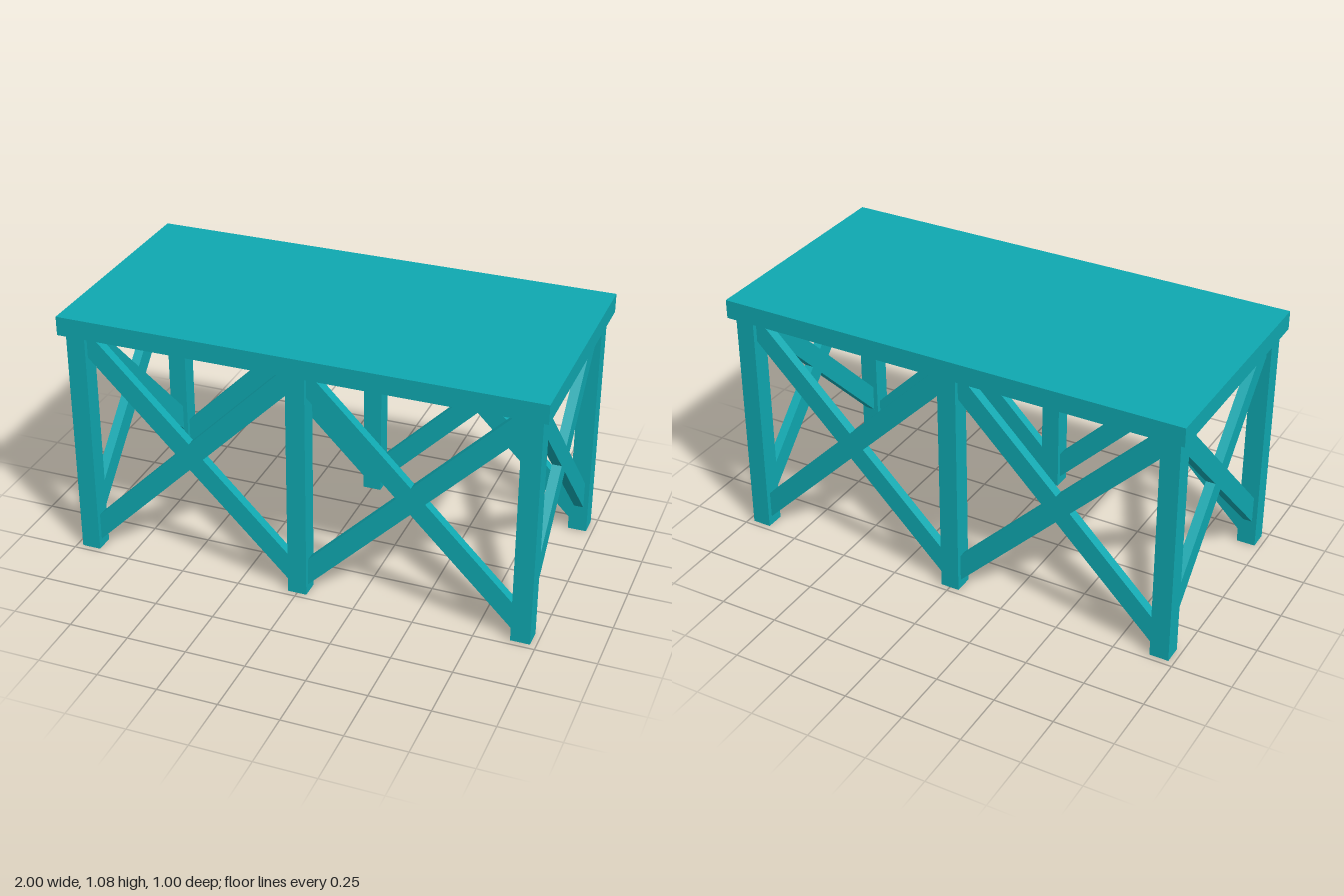
import * as THREE from 'three';

export function createModel() {
  const model = new THREE.Group();
  const mat = new THREE.MeshStandardMaterial({ color: 0x0fa8b0 });

  const POST = 0.08, TOP_Y = 0.995, SLAB = 0.08;
  const PX = 0.935, PZ = 0.435; // post centres
  const BRACE_DEPTH = 0.04, HALF_V = 0.059; // half the vertical cut of a brace

  function add(parent, geo, name, x, y, z) {
    const mesh = new THREE.Mesh(geo, mat);
    mesh.name = name;
    mesh.position.set(x, y, z);
    parent.add(mesh);
    return mesh;
  }

  // Table top
  add(model, new THREE.BoxGeometry(2, SLAB, 1), 'tableTop', 0, TOP_Y + SLAB / 2, 0);

  // Six square legs
  const postGeo = new THREE.BoxGeometry(POST, TOP_Y, POST);
  for (const x of [-PX, 0, PX])
    for (const z of [-PZ, PZ]) add(model, postGeo, 'leg', x, TOP_Y / 2, z);

  // 45 degree brace with ends cut upright to meet the legs
  function braceGeometry(half, dir) {
    const s = new THREE.Shape([
      new THREE.Vector2(-half, -dir * half - HALF_V),
      new THREE.Vector2(half, dir * half - HALF_V),
      new THREE.Vector2(half, dir * half + HALF_V),
      new THREE.Vector2(-half, -dir * half + HALF_V),
    ]);
    const g = new THREE.ExtrudeGeometry(s, { depth: BRACE_DEPTH, bevelEnabled: false });
    return g.translate(0, 0, -BRACE_DEPTH / 2);
  }

  // Pair of crossing braces filling one bay
  function addCross(name, half, x, y, z, turn) {
    const cross = new THREE.Group();
    cross.name = name;
    for (const dir of [-1, 1]) add(cross, braceGeometry(half, dir), 'brace', 0, 0, 0);
    cross.position.set(x, y, z);
    cross.rotation.y = turn;
    model.add(cross);
  }

  // Long sides: two bays each
  for (const z of [-PZ, PZ])
    for (const x of [-PX / 2, PX / 2]) addCross('sideCross', (PX - POST) / 2, x, 0.525, z, 0);

  // Short ends: one bay each
  for (const x of [-PX, PX]) addCross('endCross', PZ - POST / 2, x, 0.57, 0, Math.PI / 2);

  return model;
}
